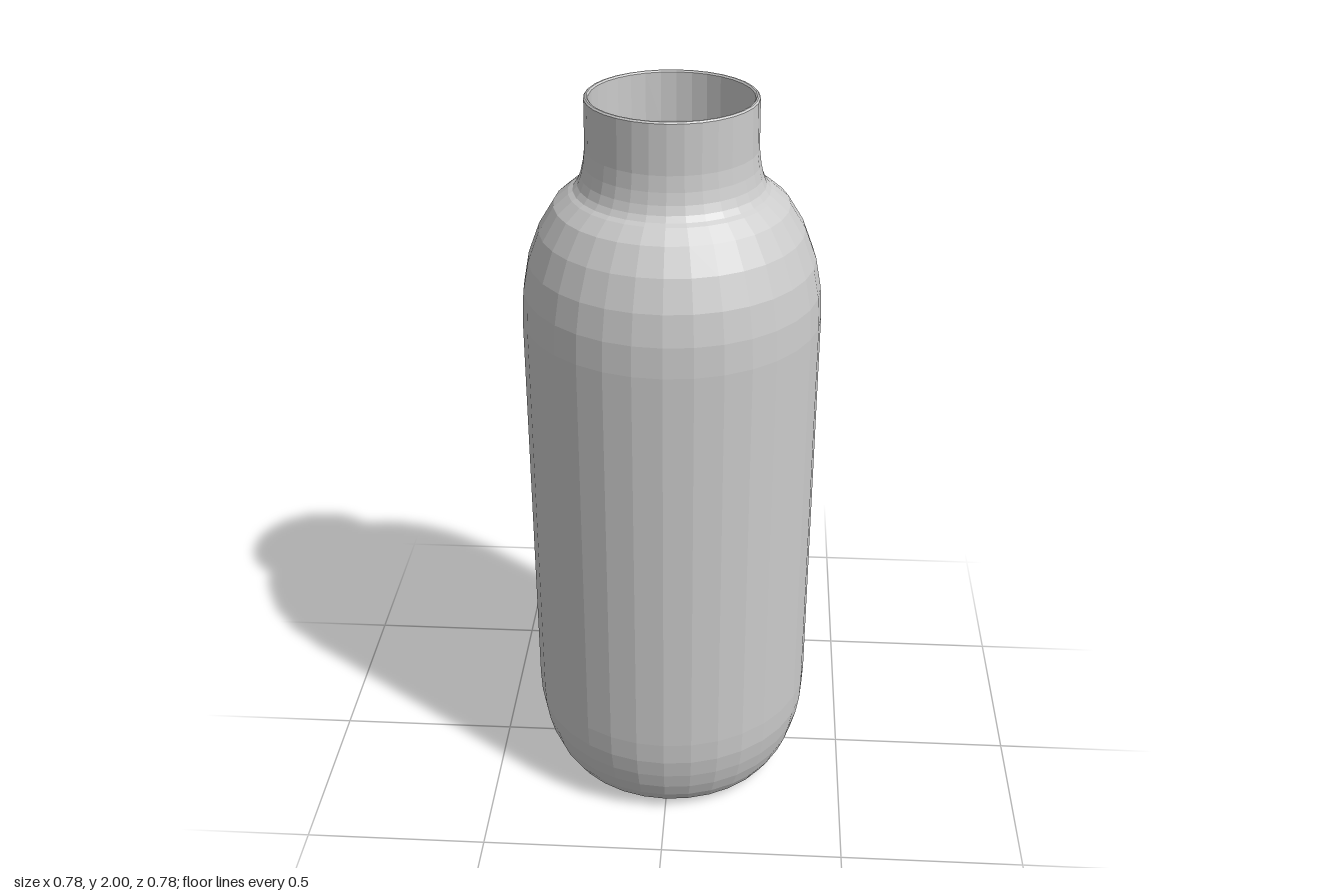
import * as THREE from 'three';

const SIDES = 32;
const WALL = 0.012;

// Outer silhouette as [radius, height], from base edge to rim
const OUTER = [
  [0.28, 0], [0.30, 0.008], [0.325, 0.03], [0.347, 0.065], [0.365, 0.11],
  [0.378, 0.16], [0.387, 0.215], [0.39, 0.28],
  [0.39, 1.42], [0.385, 1.5], [0.37, 1.58], [0.34, 1.66], [0.30, 1.725], [0.262, 1.757],
  [0.25, 1.764], [0.239, 1.778], [0.23, 1.80], [0.223, 1.83], [0.218, 1.87],
  [0.217, 1.996], [0.213, 2],
];

function lathe(name, points, material) {
  const profile = points.map(([r, y]) => new THREE.Vector2(r, y));
  const mesh = new THREE.Mesh(new THREE.LatheGeometry(profile, SIDES), material);
  mesh.name = name;
  return mesh;
}

export function createModel() {
  const group = new THREE.Group();
  group.name = 'bottle';
  const material = new THREE.MeshStandardMaterial({
    color: 0xcccccc, flatShading: true, side: THREE.DoubleSide,
  });

  // Outer shell with a flat closed base
  group.add(lathe('outerShell', [[0, 0], ...OUTER], material));

  // Inner wall follows the shell, inset by the wall thickness, down to a flat floor
  const inner = OUTER.slice(0, -2).map(([r, y]) => [r - WALL, Math.max(y, WALL)]).reverse();
  const rim = [[0.213, 2], [0.209, 2], [0.205, 1.996]];
  group.add(lathe('innerWall', [...rim, ...inner, [0, WALL]], material));

  return group;
}
